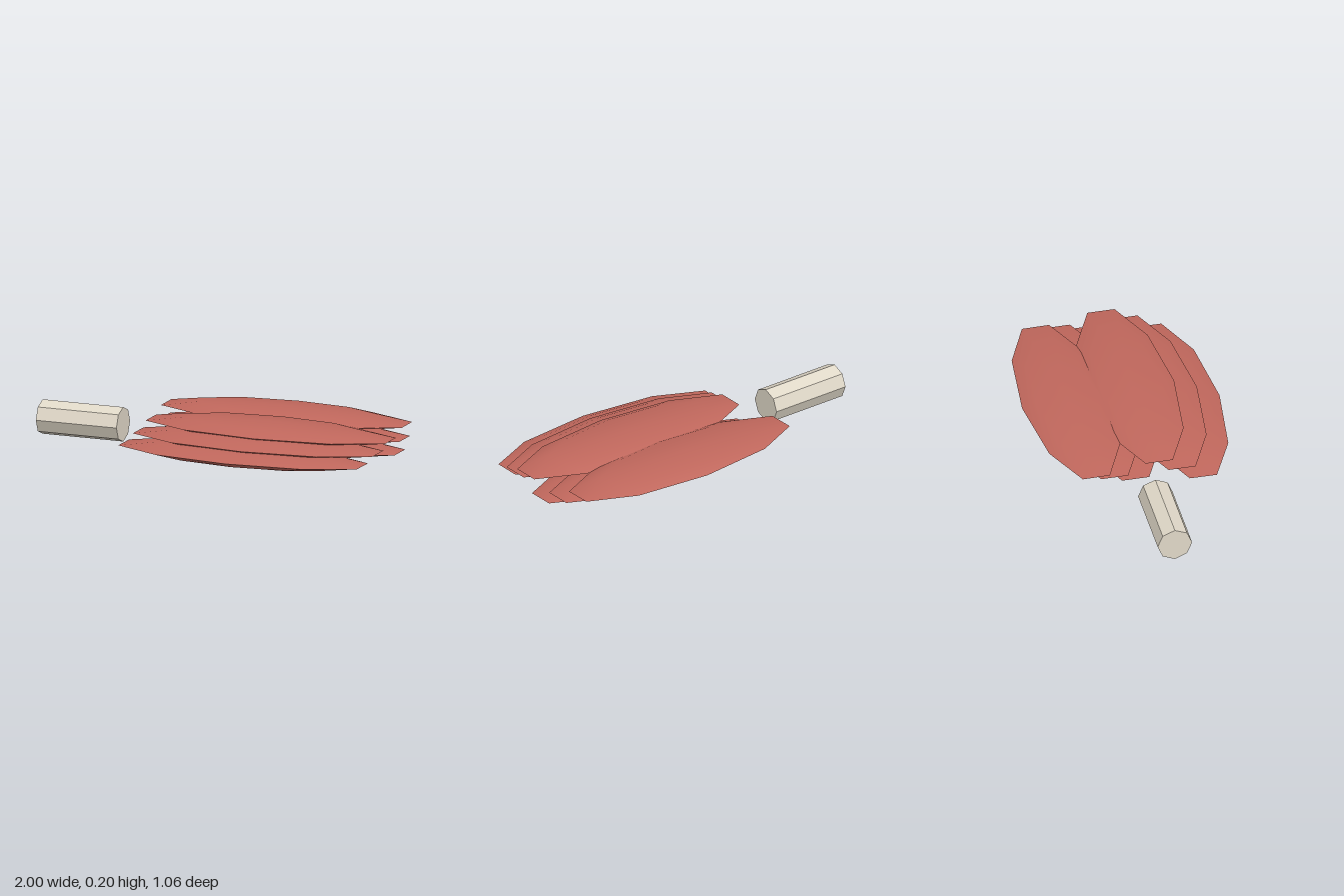
import * as THREE from 'three';
import { mergeVertices, mergeGeometries } from 'three/addons/utils/BufferGeometryUtils.js';

// Half of a flattened ten-sided ellipsoid, smooth up to its sharp rim
function lobeHalf(flip) {
  const g = new THREE.SphereGeometry(1, 10, 2, 0, Math.PI * 2, 0, Math.PI / 2);
  g.rotateY(Math.PI / 2);
  if (flip) g.rotateX(Math.PI);
  g.scale(0.715, 0.045, 0.236);
  g.deleteAttribute('normal');
  g.deleteAttribute('uv');
  const merged = mergeVertices(g, 1e-4);
  merged.computeVertexNormals();
  return merged;
}

export function createModel() {
  const group = new THREE.Group();
  const meat = new THREE.MeshStandardMaterial({ color: 0xc0675c });
  meat.name = 'meat red';
  const bone = new THREE.MeshStandardMaterial({ color: 0xe0d8c8, flatShading: true });
  bone.name = 'bone ivory';

  // Octagonal handle along x
  const handleGeometry = new THREE.CylinderGeometry(0.0925, 0.0925, 0.457, 8);
  handleGeometry.rotateZ(Math.PI / 2);
  const handle = new THREE.Mesh(handleGeometry, bone);
  handle.name = 'boneHandle';
  handle.position.set(-0.7715, 0.0925, 0);
  group.add(handle);

  // Three staggered layers of two lobes: x, y, z, yaw
  const lobeGeometry = mergeGeometries([lobeHalf(false), lobeHalf(true)]);
  const lobes = [
    [0.26, 0.07, 0.293, -0.01], [0.32, 0.07, -0.063, 0],
    [0.298, 0.115, 0.181, 0], [0.298, 0.115, -0.181, 0],
    [0.32, 0.16, 0.063, 0], [0.26, 0.16, -0.295, 0.01],
  ];
  lobes.forEach(([x, y, z, yaw], i) => {
    const lobe = new THREE.Mesh(lobeGeometry, meat);
    lobe.name = ['lower', 'middle', 'upper'][Math.floor(i / 2)] + (i % 2 ? 'BackLobe' : 'FrontLobe');
    lobe.position.set(x, y, z);
    lobe.rotation.y = yaw;
    group.add(lobe);
  });
  return group;
}
